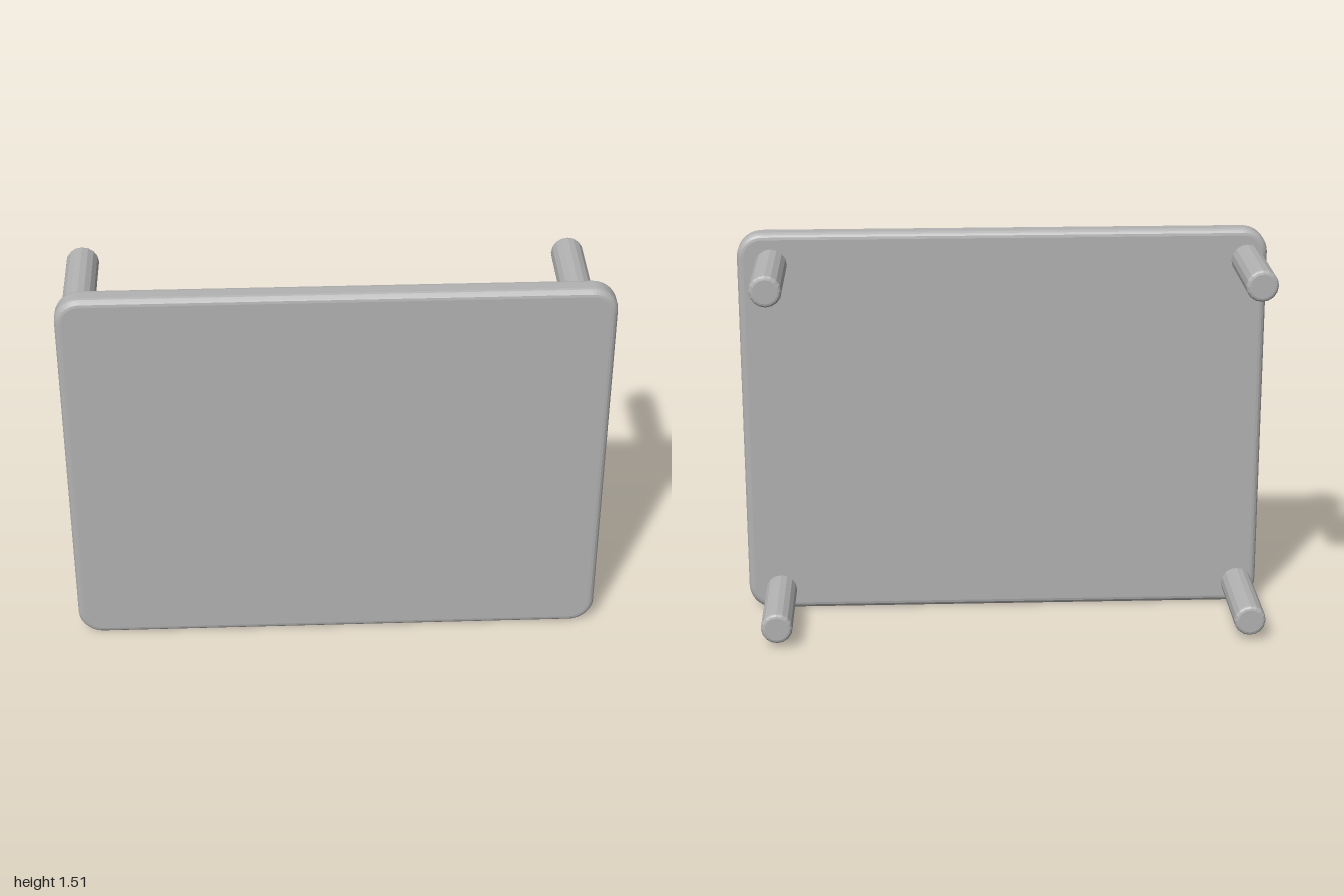
import * as THREE from 'three';

const WIDTH = 2, HEIGHT = 1.515, THICK = 0.09, FRONT = 0.243;

// Rounded rectangle outline centred on the origin
function roundedRect(w, h, r) {
  const x = w / 2, y = h / 2, s = new THREE.Shape();
  s.absarc(x - r, y - r, r, 0, Math.PI / 2);
  s.absarc(-x + r, y - r, r, Math.PI / 2, Math.PI);
  s.absarc(-x + r, -y + r, r, Math.PI, Math.PI * 1.5);
  s.absarc(x - r, -y + r, r, Math.PI * 1.5, Math.PI * 2);
  s.closePath();
  return s;
}

export function createModel() {
  const model = new THREE.Group();
  model.name = 'panelWithPegs';
  const grey = new THREE.MeshStandardMaterial({ color: 0xb3b3b3, flatShading: true });
  grey.name = 'plain grey';

  // Upright panel with rounded corners and softened edges
  const bevel = 0.025;
  const panelGeo = new THREE.ExtrudeGeometry(roundedRect(WIDTH, HEIGHT, 0.095), {
    depth: THICK - 2 * bevel,
    bevelThickness: bevel, bevelSize: bevel, bevelOffset: -bevel,
    bevelSegments: 4, curveSegments: 6,
  });
  const panel = new THREE.Mesh(panelGeo, grey);
  panel.name = 'panel';
  panel.position.set(0, HEIGHT / 2, FRONT - THICK + bevel);
  model.add(panel);

  // Round pegs with softened ends, reaching back from the panel
  const radius = 0.06, length = 0.41, soft = 0.015;
  const profile = [new THREE.Vector2(radius, 0)];
  for (let i = 0; i <= 3; i++) {
    const a = (i / 3) * Math.PI / 2;
    profile.push(new THREE.Vector2(
      radius - soft + soft * Math.cos(a), length - soft + soft * Math.sin(a)));
  }
  profile.push(new THREE.Vector2(0, length));
  const pegGeo = new THREE.LatheGeometry(profile, 16);
  pegGeo.rotateX(-Math.PI / 2);

  for (const [xName, x] of [['Right', -0.923], ['Left', 0.873]]) {
    for (const [yName, y] of [['lower', 0.082], ['upper', 1.395]]) {
      const peg = new THREE.Mesh(pegGeo, grey);
      peg.name = yName + xName + 'Peg';
      peg.position.set(x, y, length - FRONT);
      model.add(peg);
    }
  }
  return model;
}
